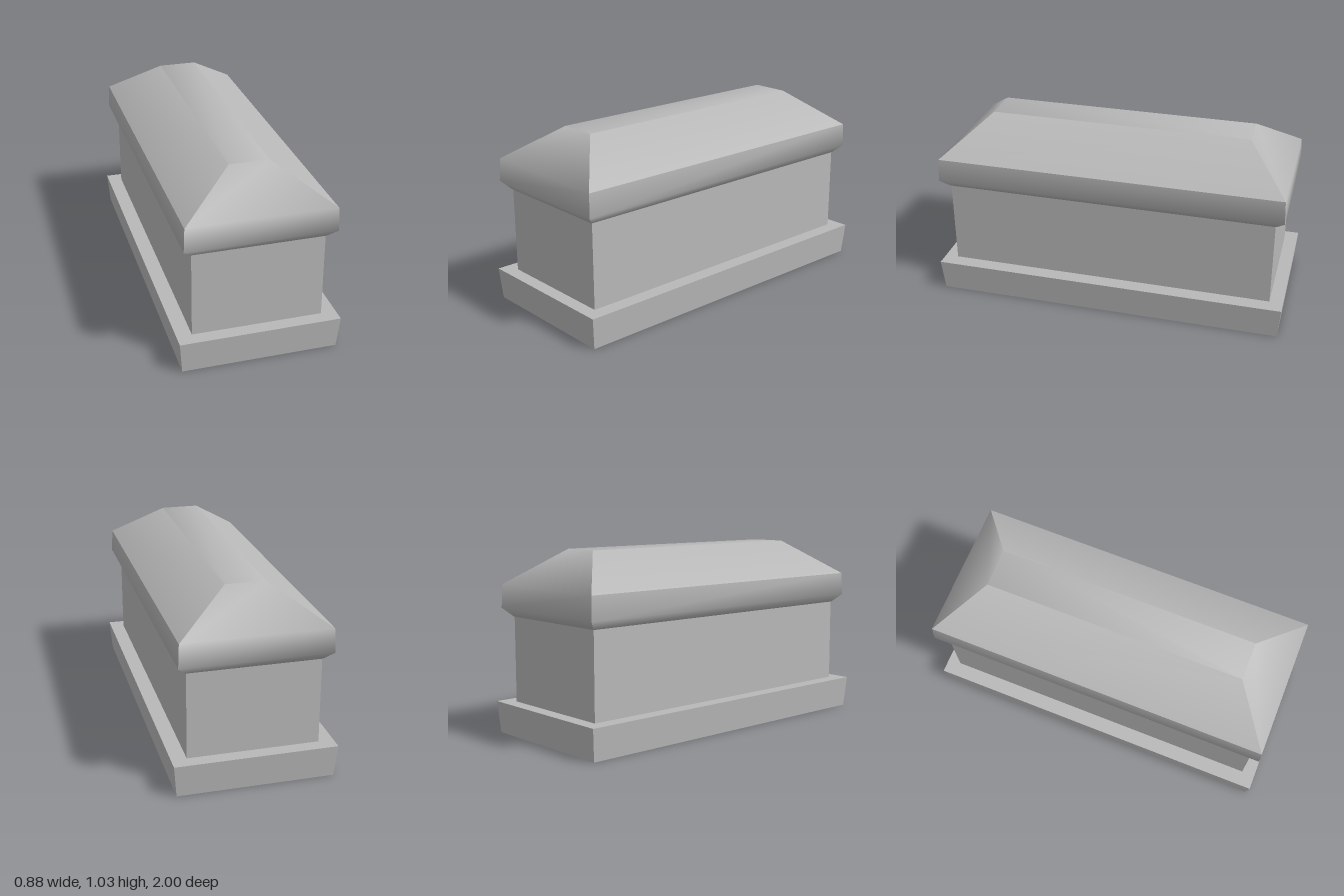
import * as THREE from 'three';
import { toCreasedNormals } from 'three/addons/utils/BufferGeometryUtils.js';

// Closed solid from stacked rectangles, each given as [halfX, y, halfZ], bottom to top.
function stackedRects(rings, crease) {
  const positions = [];
  const index = [];
  for (const [x, y, z] of rings) {
    positions.push(-x, y, z, x, y, z, x, y, -z, -x, y, -z);
  }
  const quad = (a, b, c, d) => index.push(a, b, c, a, c, d);
  for (let r = 0; r < rings.length - 1; r++) {
    for (let i = 0; i < 4; i++) {
      const j = (i + 1) % 4;
      quad(r * 4 + i, r * 4 + j, r * 4 + 4 + j, r * 4 + 4 + i);
    }
  }
  const t = (rings.length - 1) * 4;
  quad(t, t + 1, t + 2, t + 3);
  quad(3, 2, 1, 0);
  const geometry = new THREE.BufferGeometry();
  geometry.setAttribute('position', new THREE.Float32BufferAttribute(positions, 3));
  geometry.setIndex(index);
  return toCreasedNormals(geometry, crease);
}

export function createModel() {
  const group = new THREE.Group();
  group.name = 'stoneTomb';
  const stone = new THREE.MeshStandardMaterial({ color: 0xb8b8b8 });
  stone.name = 'greyStone';

  const add = (name, rings, crease) => {
    const mesh = new THREE.Mesh(stackedRects(rings, crease), stone);
    mesh.name = name;
    group.add(mesh);
  };

  // Plinth, flaring slightly towards the top
  add('plinth', [[0.424, 0, 0.986], [0.438, 0.177, 1]], 0.5);

  // Upright chest
  add('chest', [[0.355, 0.17, 0.925], [0.355, 0.66, 0.925]], 0.5);

  // Hipped lid: softened rim and ends, crisp hips and long eaves
  add('lid', [
    [0.357, 0.653, 0.928],
    [0.405, 0.701, 0.975],
    [0.399, 0.831, 0.97],
    [0.108, 1.028, 0.735],
  ], 0.86);

  return group;
}
